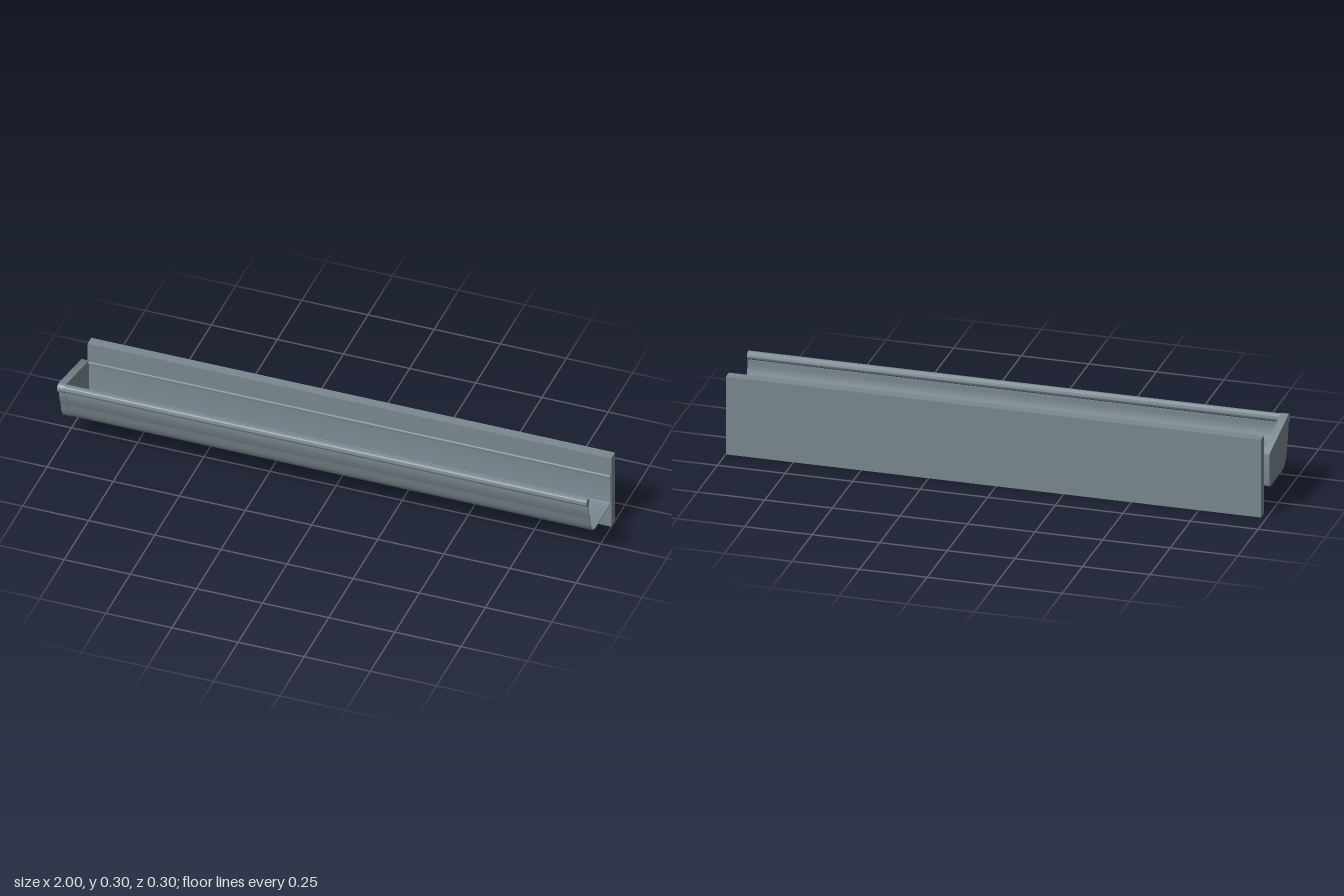
import * as THREE from 'three';
import { toCreasedNormals } from 'three/addons/utils/BufferGeometryUtils.js';

const V = (z, y) => new THREE.Vector2(z, y);

// Extrude a closed (z, y) outline along x from x0 to x1
function extrudeX(outline, x0, x1) {
  const shape = new THREE.Shape(outline.map(p => V(-p.x, p.y)));
  const geo = new THREE.ExtrudeGeometry(shape, { depth: x1 - x0, bevelEnabled: false });
  geo.rotateY(Math.PI / 2);
  geo.translate(x0, 0, 0);
  return toCreasedNormals(geo, 0.6);
}

// Points on an arc in the (z, y) plane, angles in degrees
function arc(z, y, r, a0, a1, n) {
  return Array.from({ length: n + 1 }, (_, i) => {
    const a = THREE.MathUtils.degToRad(a0 + (a1 - a0) * i / n);
    return V(z + r * Math.cos(a), y + r * Math.sin(a));
  });
}

// Wall outline: curved front, flat bottom, upright back
function wallProfile() {
  const path = new THREE.Path();
  path.moveTo(0.127, 0.255);
  path.splineThru([V(0.126, 0.228), V(0.12, 0.203), V(0.113, 0.183), V(0.107, 0.158),
    V(0.099, 0.136), V(0.085, 0.116), V(0.067, 0.106), V(0.045, 0.102)]);
  path.lineTo(-0.096, 0.102);
  path.quadraticCurveTo(-0.107, 0.102, -0.107, 0.114);
  path.lineTo(-0.107, 0.225);
  return path.getPoints(5);
}

// Shift a profile towards the inside of the channel
function inset(points, d) {
  return points.map((p, i) => {
    const a = points[Math.max(i - 1, 0)], b = points[Math.min(i + 1, points.length - 1)];
    const t = b.clone().sub(a).normalize();
    return V(p.x + t.y * d, p.y - t.x * d);
  });
}

export function createModel() {
  const group = new THREE.Group();
  const metal = new THREE.MeshStandardMaterial({ color: 0x7a8890 });
  metal.name = 'slate grey';

  const add = (name, geo) => {
    const mesh = new THREE.Mesh(geo, metal);
    mesh.name = name;
    group.add(mesh);
  };

  // Board behind the gutter
  const board = new THREE.BoxGeometry(1.98, 0.3, 0.038);
  board.translate(0.01, 0.15, -0.128);
  add('fasciaBoard', board);

  // Thin open channel
  const wall = wallProfile();
  const sheet = [...inset(wall, 0.002), ...inset(wall, 0.006).reverse()];
  add('gutterChannel', extrudeX(sheet, -0.98, 1));

  // Rolled edges along the front and the back
  add('frontBead', extrudeX(arc(0.131, 0.27, 0.0155, 0, 345, 23), -0.98, 1));
  add('backBead', extrudeX(arc(-0.1, 0.225, 0.006, 0, 330, 11), -0.98, 1));

  // Closing cap on the right end, wrapping round the bead
  const cap = [
    ...wall,
    V(-0.106, 0.23), V(-0.101, 0.2335),
    ...arc(0.131, 0.27, 0.0178, 103, -95, 18),
  ];
  add('endCap', extrudeX(cap, -1, -0.972));

  return group;
}
